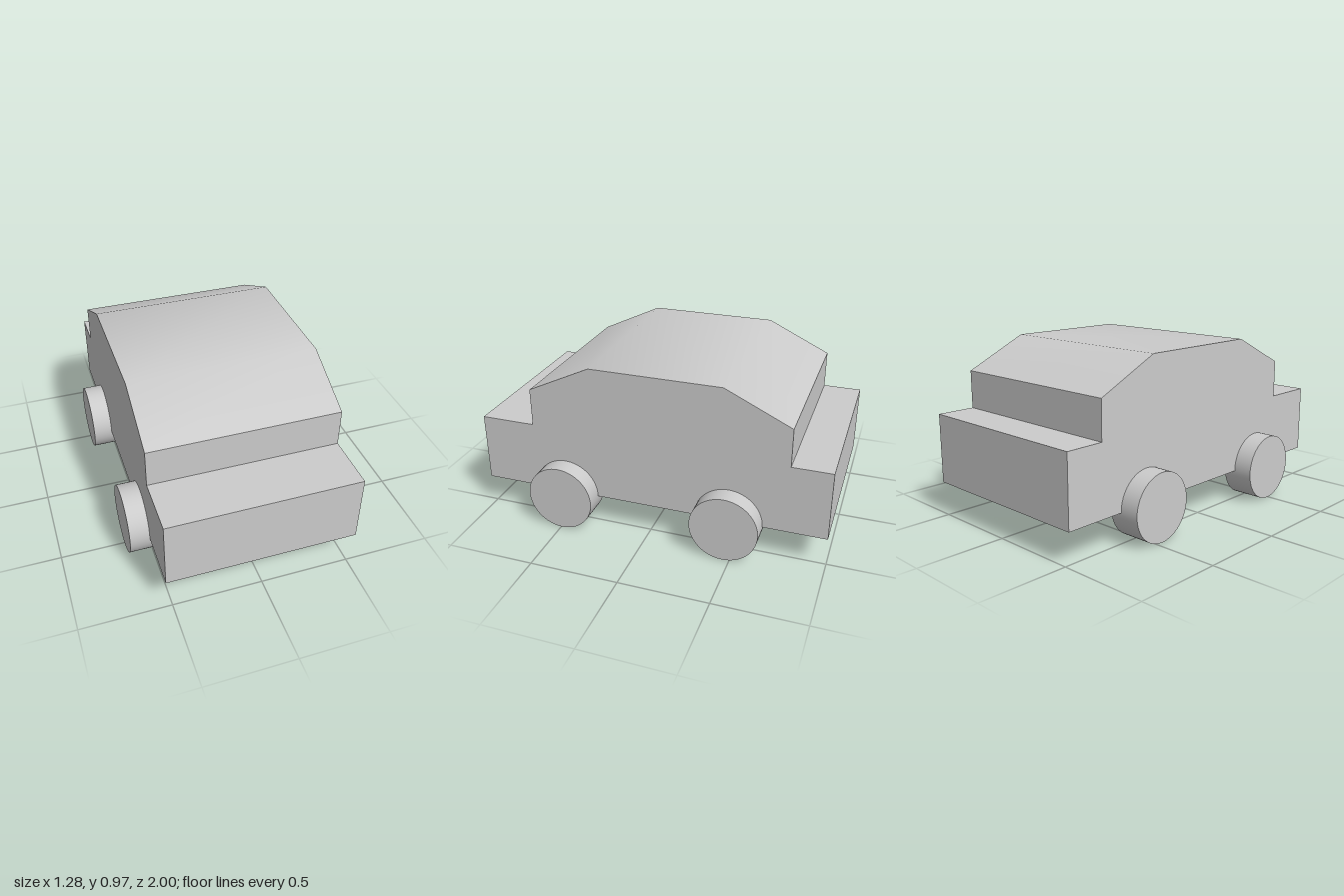
import * as THREE from 'three';
import { toCreasedNormals } from 'three/addons/utils/BufferGeometryUtils.js';

export function createModel() {
  const group = new THREE.Group();
  const material = new THREE.MeshStandardMaterial({ color: 0xcccccc });

  // Body: side profile as (z, y), extruded across the width
  const profile = [
    [1, 0.185], [1, 0.58], [0.685, 0.58], [0.685, 0.795], [0.325, 0.967],
    [-0.415, 0.967], [-0.78, 0.795], [-0.78, 0.58], [-1, 0.58], [-1, 0.185],
  ];
  const shape = new THREE.Shape(profile.map(([z, y]) => new THREE.Vector2(z, y)));
  const width = 1.068;
  const bodyGeometry = new THREE.ExtrudeGeometry(shape, { depth: width, bevelEnabled: false });
  bodyGeometry.rotateY(-Math.PI / 2).translate(0.003 + width / 2, 0, 0);
  // Windscreen, roof and rear slope blend smoothly; other edges stay sharp
  const body = new THREE.Mesh(toCreasedNormals(bodyGeometry, 0.6), material);
  body.name = 'body';
  group.add(body);

  // Wheels: plain discs, partly sunk into the body
  const radius = 0.19;
  const wheelGeometry = new THREE.CylinderGeometry(radius, radius, 0.18, 64).rotateZ(Math.PI / 2);
  for (const [end, z] of [['front', 0.495], ['rear', -0.46]]) {
    for (const [side, x] of [['Left', 0.55], ['Right', -0.55]]) {
      const wheel = new THREE.Mesh(wheelGeometry, material);
      wheel.name = `${end}${side}Wheel`;
      wheel.position.set(x, radius, z);
      group.add(wheel);
    }
  }
  return group;
}
